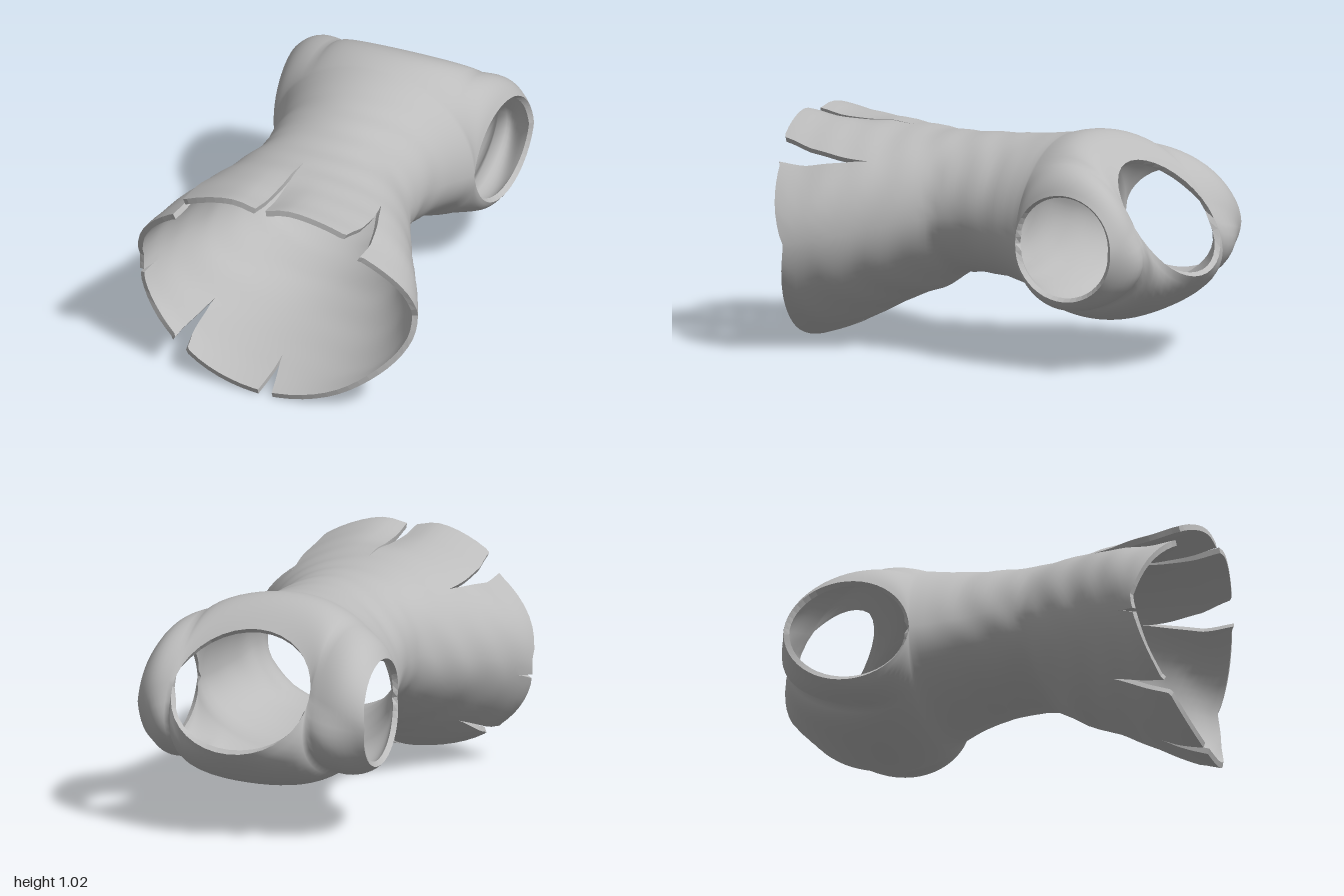
import * as THREE from 'three';
import { mergeVertices } from 'three/addons/utils/BufferGeometryUtils.js';

const COLS = 72, ROWS = 36, HALF = COLS / 2, PANEL_ROWS = 24, THICK = 0.026;

// Body cross-sections: z, half width, centre y, top y, bottom y
const STATIONS = [
  [-0.3, 0.485, 0.57, 1.005, 0.275], [-0.22, 0.45, 0.585, 0.995, 0.305],
  [-0.1, 0.41, 0.61, 0.98, 0.335], [0.05, 0.385, 0.64, 0.975, 0.35],
  [0.2, 0.385, 0.63, 0.97, 0.345], [0.35, 0.455, 0.6, 0.97, 0.255],
  [0.5, 0.53, 0.56, 0.98, 0.2], [0.65, 0.615, 0.53, 0.995, 0.125],
  [0.8, 0.68, 0.5, 1.01, 0.05], [1.0, 0.69, 0.5, 1.045, -0.015],
];

// Hem slits: grid column -> start z and half opening angle
const SLITS = {
  9: [0.52, 0.06], 18: [0.49, 0.035], 27: [0.52, 0.045],
  38: [0.73, 0.02], 46: [0.62, 0.06], 54: [0.74, 0.05],
};

function section(z) {
  let i = 0;
  while (i < STATIONS.length - 2 && z > STATIONS[i + 1][0]) i++;
  const a = STATIONS[i], b = STATIONS[i + 1];
  const k = (z - a[0]) / (b[0] - a[0]);
  return a.map((n, j) => THREE.MathUtils.lerp(n, b[j], k));
}

// Point on the tube running from armpits to hem; side tells which edge of a slit it lies on
function bodyPoint(col, row, side) {
  const c = col % COLS;
  let th = (c / COLS) * Math.PI * 2;
  const reach = Math.abs(Math.sin(th));
  const hem = c <= HALF ? 0.785 + 0.205 * reach : 0.785 + 0.15 * reach ** 1.6;
  const z = -0.3 + (hem + 0.3) * row / ROWS;
  // front slits lean inward toward the hem
  if (c < HALF) th += 0.12 * THREE.MathUtils.smoothstep(z, 0.45, 0.95) * Math.sin(2 * th);
  const slit = SLITS[c];
  if (slit) th += side * slit[1] * Math.max(0, (z - slit[0]) / (hem - slit[0]));
  const [, rx, cy, top, bottom] = section(z);
  const s = Math.sin(th);
  // soft cloth folds, strongest around the waist
  const fade = THREE.MathUtils.smoothstep(z, -0.3, 0) * (1 - 0.5 * THREE.MathUtils.smoothstep(z, 0.4, 0.8));
  const k = 1 + fade * (0.006 * Math.sin(z * 36 + 2 * Math.sin(3 * th)) + 0.006 * Math.sin(5 * th + z * 9));
  const x = rx * k * Math.cos(th);
  let y = cy + s * (s > 0 ? top - cy : cy - bottom) * k;
  const flare = THREE.MathUtils.smoothstep(z, 0.52, 0.9);
  // side flaps tuck under the front flaps, which sag at the centre slit
  const onSide = c < 9 || c > 27 || (c === 9 && side < 0) || (c === 27 && side > 0);
  if (onSide) y -= 0.08 * Math.max(0, s) * flare;
  else y -= 0.035 * Math.exp(-((x / 0.09) ** 2)) * flare;
  return new THREE.Vector3(x, y, z);
}

// Half of an armhole rim, from armpit to shoulder
function armholePoint(v, xSign, ySign) {
  const a = Math.PI * v, r = xSign > 0 ? 0.262 : 0.28;
  return new THREE.Vector3(xSign * (0.485 + (xSign > 0 ? 0.065 : 0.08) * v),
    0.57 + ySign * 0.24 * Math.sin(a), -0.3 - r + r * Math.cos(a));
}

function neckPoint(a) {
  const c = Math.cos(a), s = Math.sin(a);
  return new THREE.Vector3(0.04 + 0.33 * c, 0.665 + 0.245 * s, -0.82 + 0.18 * s - 0.03 * c * c);
}

// Rounded shoulder seam from armhole to neck
function seamPoint(xSign, t) {
  const p = armholePoint(1, xSign, 1).lerp(neckPoint(xSign > 0 ? 0 : Math.PI), t);
  p.z -= 0.035 * Math.sin(Math.PI * t);
  return p;
}

// Shoulder seam, neckline, shoulder seam
function collarPoint(u, start) {
  const sx = start === 0 ? 1 : -1;
  if (u <= 0.25) return seamPoint(sx, u * 4);
  if (u >= 0.75) return seamPoint(-sx, (1 - u) * 4);
  return neckPoint(start + (u - 0.25) * 2 * Math.PI);
}

// Chest or upper-back panel, blended between its four edges
function panelPoint(col, row, back) {
  const u = col / HALF, v = row / PANEL_ROWS;
  const start = back ? Math.PI : 0, ySign = back ? -1 : 1, sx = back ? -1 : 1;
  const p = bodyPoint(col + (back ? HALF : 0), 0, 0).lerp(collarPoint(u, start), v);
  const falloff = n => (0.5 + 0.5 * Math.cos(Math.PI * n)) ** 3;
  for (const [sign, w] of [[sx, falloff(u)], [-sx, falloff(1 - u)]]) {
    const straight = armholePoint(0, sign, ySign).lerp(armholePoint(1, sign, ySign), v);
    const bow = armholePoint(v, sign, ySign).sub(straight);
    p.y += bow.y * w;
    p.z += bow.z * w * (v < 0.5 ? w * w : w);
  }
  if (back) {
    p.y -= 0.085 * Math.max(0, Math.sin(Math.PI * v)) ** 0.7 * Math.sin(Math.PI * u);
    // fullness over the shoulder blades, below the neck corners
    const blade = v ** 4 * (1 - v) * Math.sin(2 * Math.PI * u) ** 2;
    p.z -= 1.3 * blade;
    p.y -= 0.3 * blade;
  }
  return p;
}

function geometryOf(points) {
  const g = new THREE.BufferGeometry();
  g.setAttribute('position', new THREE.Float32BufferAttribute(points.flatMap(p => [p.x, p.y, p.z]), 3));
  return g;
}

function outerShell() {
  const pts = [];
  const quad = (a, b, c, d) => pts.push(a, b, c, a, c, d);
  for (let j = 0; j < COLS; j++) {
    for (let i = 0; i < ROWS; i++) {
      quad(bodyPoint(j, i, 1), bodyPoint(j + 1, i, -1), bodyPoint(j + 1, i + 1, -1), bodyPoint(j, i + 1, 1));
    }
  }
  for (const back of [false, true]) {
    for (let j = 0; j < HALF; j++) {
      for (let i = 0; i < PANEL_ROWS; i++) {
        quad(panelPoint(j, i, back), panelPoint(j, i + 1, back),
          panelPoint(j + 1, i + 1, back), panelPoint(j + 1, i, back));
      }
    }
  }
  const g = mergeVertices(geometryOf(pts), 1e-4);
  g.computeVertexNormals();
  return g;
}

export function createModel() {
  const group = new THREE.Group();
  group.name = 'sleevelessTunic';
  const cloth = new THREE.MeshStandardMaterial({ color: 0xbcbcbc });
  cloth.name = 'grey cloth';
  const add = (geometry, name) => {
    const mesh = new THREE.Mesh(geometry, cloth);
    mesh.name = name;
    group.add(mesh);
  };

  const outer = outerShell();
  add(outer, 'outerCloth');

  // Lining: the outer cloth pushed inward and turned over
  const pos = outer.attributes.position, nor = outer.attributes.normal, idx = outer.index.array;
  const outside = [], inside = [];
  for (let i = 0; i < pos.count; i++) {
    const p = new THREE.Vector3().fromBufferAttribute(pos, i);
    const n = new THREE.Vector3().fromBufferAttribute(nor, i);
    outside.push(p);
    inside.push(p.clone().addScaledVector(n, -THICK));
  }
  const lining = geometryOf(inside);
  lining.setIndex(Array.from(idx).reverse());
  lining.computeVertexNormals();
  add(lining, 'lining');

  // Cut edges around the neck, armholes, hem and slits
  const edges = new Map();
  for (let i = 0; i < idx.length; i += 3) {
    for (let k = 0; k < 3; k++) {
      const a = idx[i + k], b = idx[i + (k + 1) % 3];
      if (a !== b && !edges.delete(b + '_' + a)) edges.set(a + '_' + b, [a, b]);
    }
  }
  const rim = [];
  for (const [a, b] of edges.values()) {
    rim.push(outside[b], outside[a], inside[a], outside[b], inside[a], inside[b]);
  }
  const rimGeometry = geometryOf(rim);
  rimGeometry.computeVertexNormals();
  add(rimGeometry, 'cutEdges');

  return group;
}
